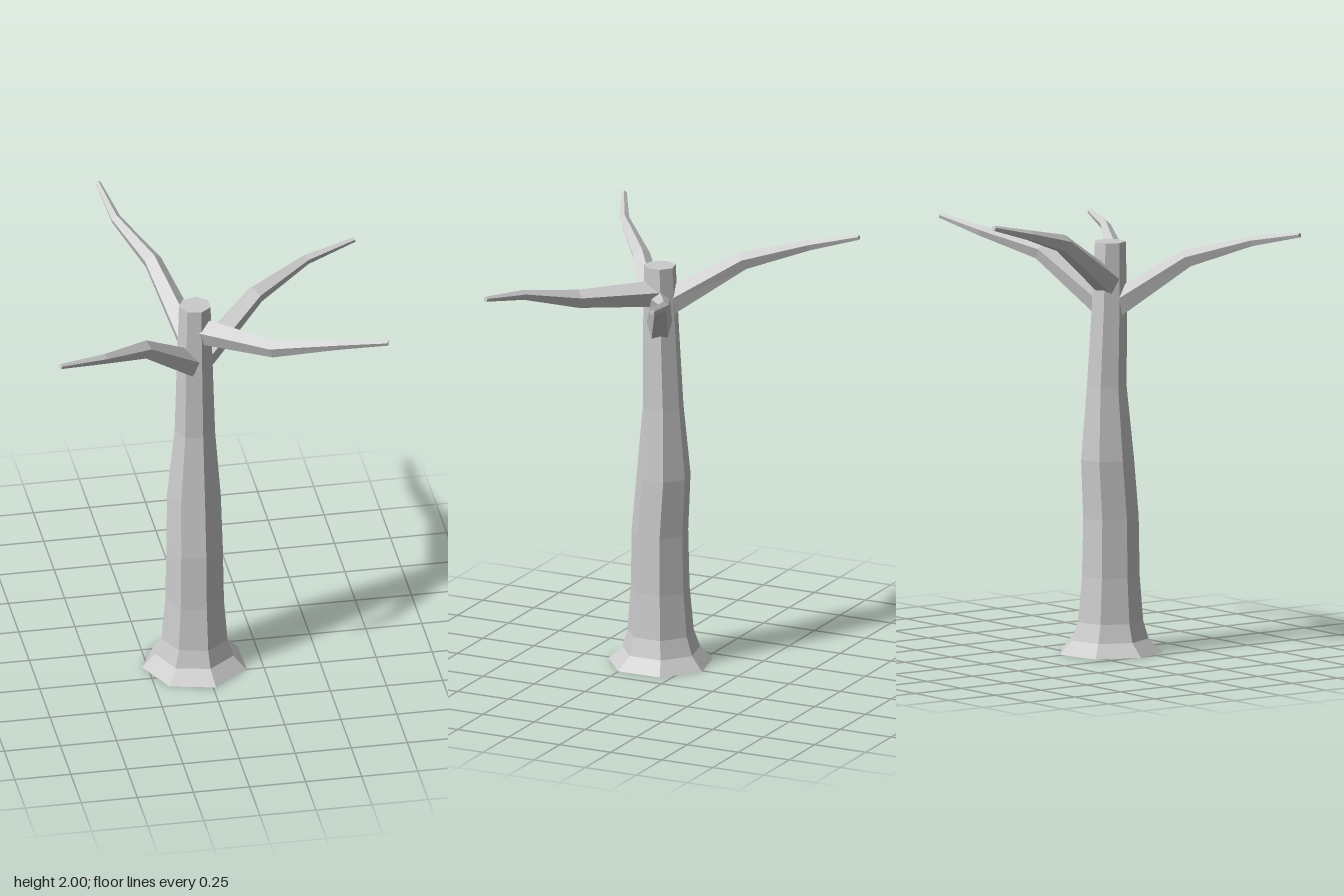
import * as THREE from 'three';

const V = (x, y, z) => new THREE.Vector3(x, y, z);

// Closed faceted skin through rings [x, y, z, radius]; frame(i) gives the ring's two axes
function loft(rings, sides, frame) {
  const pos = [], index = [];
  rings.forEach(([x, y, z, r], i) => {
    const [u, v] = frame(i);
    for (let j = 0; j < sides; j++) {
      const t = (j / sides) * Math.PI * 2;
      const p = V(x, y, z).addScaledVector(u, r * Math.cos(t)).addScaledVector(v, r * Math.sin(t));
      pos.push(p.x, p.y, p.z);
    }
  });
  const last = (rings.length - 1) * sides;
  for (let i = 0; i < last; i += sides) {
    for (let j = 0; j < sides; j++) {
      const k = (j + 1) % sides;
      index.push(i + j, i + k, i + sides + k, i + j, i + sides + k, i + sides + j);
    }
  }
  // end caps
  for (let j = 1; j < sides - 1; j++) {
    index.push(0, j + 1, j, last, last + j, last + j + 1);
  }
  const g = new THREE.BufferGeometry();
  g.setAttribute('position', new THREE.Float32BufferAttribute(pos, 3));
  g.setIndex(index);
  const flat = g.toNonIndexed();
  flat.computeVertexNormals();
  return flat;
}

// Rings square to the path, with one corner on top
function branchGeometry(rings) {
  const pts = rings.map(([x, y, z]) => V(x, y, z));
  return loft(rings, 5, (i) => {
    const a = pts[Math.max(i - 1, 0)], b = pts[Math.min(i + 1, pts.length - 1)];
    const w = b.clone().sub(a).normalize();
    const u = V(0, 1, 0).addScaledVector(w, -w.y).normalize();
    return [u, w.clone().cross(u)];
  });
}

export function createModel() {
  const group = new THREE.Group();
  group.name = 'bareTree';
  const bark = new THREE.MeshStandardMaterial({ color: 0xcccccc, flatShading: true });
  const add = (name, geometry) => {
    const mesh = new THREE.Mesh(geometry, bark);
    mesh.name = name;
    group.add(mesh);
  };

  // Seven-sided trunk with a flared foot and a slight bend
  const trunk = [
    [-0.04, 0, 0.15, 0.235],
    [-0.04, 0.06, 0.147, 0.175],
    [-0.04, 0.14, 0.15, 0.149],
    [-0.04, 0.34, 0.152, 0.132],
    [-0.04, 0.6, 0.153, 0.127],
    [-0.04, 0.86, 0.135, 0.121],
    [-0.036, 1.18, 0.135, 0.091],
    [-0.039, 1.52, 0.147, 0.081],
    [-0.04, 1.82, 0.153, 0.071],
  ];
  add('trunk', loft(trunk, 7, () => [V(-1, 0, 0), V(0, 0, 1)]));

  // Four tapering branches, each from the trunk to its tip
  const branches = {
    backLeftBranch: [[-0.01, 1.54, 0.14, 0.06], [0.26, 1.755, 0.0, 0.042], [0.51, 1.825, -0.14, 0.024], [0.735, 1.87, -0.195, 0.012]],
    frontLeftBranch: [[-0.02, 1.695, 0.16, 0.062], [0.265, 1.715, 0.405, 0.042], [0.52, 1.785, 0.545, 0.023], [0.735, 1.815, 0.62, 0.012]],
    frontRightBranch: [[-0.065, 1.54, 0.175, 0.062], [-0.31, 1.755, 0.38, 0.042], [-0.525, 1.84, 0.57, 0.023], [-0.735, 1.885, 0.675, 0.012]],
    backRightBranch: [[-0.06, 1.64, 0.13, 0.062], [-0.165, 1.855, -0.195, 0.042], [-0.28, 1.93, -0.46, 0.024], [-0.317, 1.988, -0.685, 0.012]],
  };
  for (const [name, rings] of Object.entries(branches)) add(name, branchGeometry(rings));

  return group;
}
